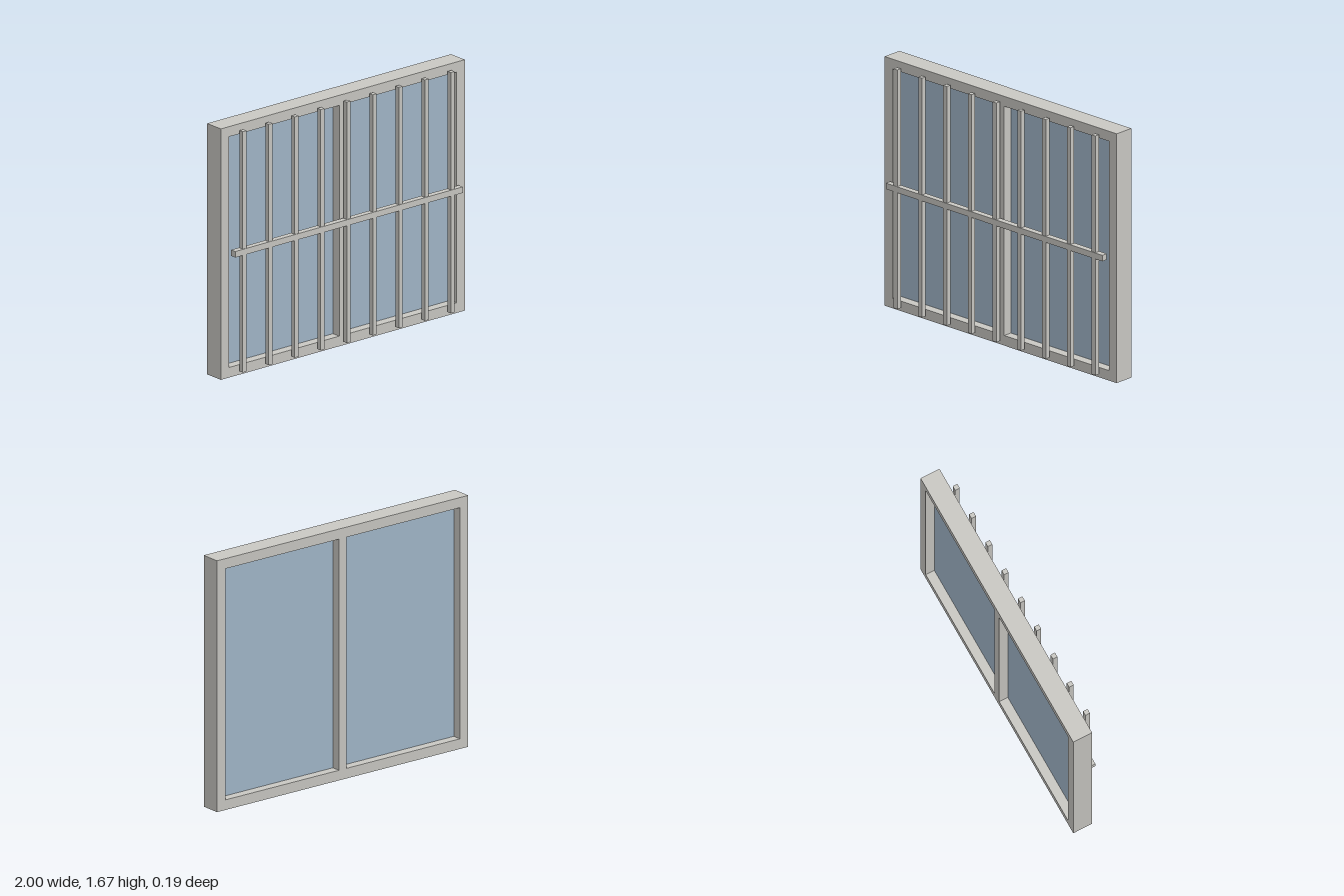
import * as THREE from 'three';

export function createModel() {
  const model = new THREE.Group();
  model.name = 'barredWindow';
  const paint = new THREE.MeshStandardMaterial({ name: 'warmGreyPaint', color: 0xc9c8c3 });
  const glass = new THREE.MeshStandardMaterial({ name: 'paleBlueGlass', color: 0xa3b8ca });

  const H = 1.667, BORDER = 0.067, BACK = -0.097, DEPTH = 0.134;
  const MULLION = 0.03, INNER = 1 - BORDER;

  const box = (name, size, pos, material) => {
    const mesh = new THREE.Mesh(new THREE.BoxGeometry(...size), material);
    mesh.name = name;
    mesh.position.set(...pos);
    model.add(mesh);
  };
  const rect = (Type, x0, y0, x1, y1) => new Type([
    new THREE.Vector2(x0, y0), new THREE.Vector2(x1, y0),
    new THREE.Vector2(x1, y1), new THREE.Vector2(x0, y1),
  ]);

  // Frame with two openings either side of the central mullion
  const outline = rect(THREE.Shape, -1, 0, 1, H);
  outline.holes.push(
    rect(THREE.Path, -INNER, BORDER, -MULLION, H - BORDER),
    rect(THREE.Path, MULLION, BORDER, INNER, H - BORDER),
  );
  const frame = new THREE.Mesh(
    new THREE.ExtrudeGeometry(outline, { depth: DEPTH, bevelEnabled: false }), paint);
  frame.name = 'frame';
  frame.position.z = BACK;
  model.add(frame);

  // Panes set halfway through the frame
  for (const side of [-1, 1]) {
    box(side > 0 ? 'leftPane' : 'rightPane',
      [INNER - MULLION, H - 2 * BORDER, 0.012],
      [side * (INNER + MULLION) / 2, H / 2, BACK + DEPTH / 2], glass);
  }

  // Security grille: nine uprights crossed by one thicker rail
  const BAR_Z = 0.077;
  for (let i = -4; i <= 4; i++) {
    box('verticalBar', [0.032, 1.6, 0.032], [i * 0.2133, H / 2, BAR_Z], paint);
  }
  box('crossRail', [2 * INNER, 0.04, 0.04], [0, H / 2, BAR_Z], paint);

  return model;
}
